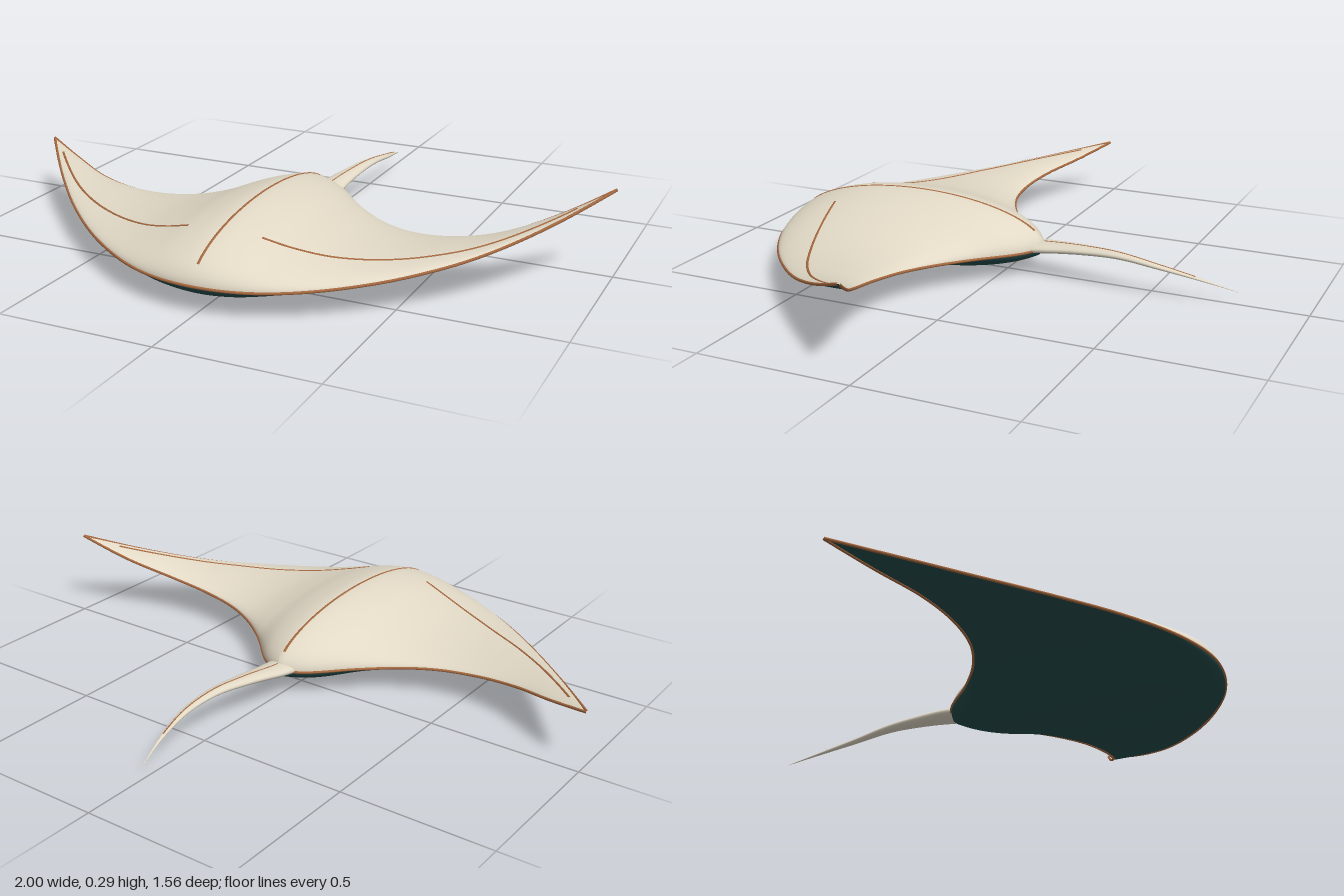
import * as THREE from 'three';
import { mergeVertices } from 'three/addons/utils/BufferGeometryUtils.js';

// Smooth interpolation through [position, value] knots with a given slope at the first knot
function curve(knots, startSlope = 0) {
  const n = knots.length - 1;
  const secant = (i) => (knots[i + 1][1] - knots[i][1]) / (knots[i + 1][0] - knots[i][0]);
  const slope = knots.map((k, i) => {
    if (i === 0) return startSlope;
    if (i === n) return secant(n - 1);
    const h0 = k[0] - knots[i - 1][0], h1 = knots[i + 1][0] - k[0];
    return (secant(i - 1) * h1 + secant(i) * h0) / (h0 + h1);
  });
  slope[n] = (3 * slope[n] - slope[n - 1]) / 2;
  return (p) => {
    let i = 0;
    while (i < n - 1 && p > knots[i + 1][0]) i++;
    const [x0, y0] = knots[i], [x1, y1] = knots[i + 1];
    const h = x1 - x0, t = Math.min(1, Math.max(0, (p - x0) / h)), t2 = t * t, t3 = t2 * t;
    return y0 * (2 * t3 - 3 * t2 + 1) + y1 * (3 * t2 - 2 * t3)
      + h * (slope[i] * (t3 - 2 * t2 + t) + slope[i + 1] * (t3 - t2));
  };
}

// Outline and thickness as functions of the distance from the middle
const frontZ = curve([[0, .78], [.2, .74], [.4, .628], [.6, .463], [.8, .257], [1, .02]]);
const backZ = curve([[0, -.13], [.07, -.095], [.2, .028], [.3, .105], [.4, .155], [.55, .18], [.7, .157], [.85, .09], [1, .02]], .35);
const rimLeft = curve([[0, .088], [.2, .088], [.4, .098], [.55, .115], [.7, .147], [.85, .205], [1, .285]]);
const rimRight = curve([[0, .088], [.2, .088], [.4, .096], [.55, .106], [.7, .124], [.85, .152], [1, .188]]);
const topRise = curve([[0, .145], [.1, .126], [.2, .09], [.3, .06], [.4, .041], [.6, .024], [.8, .013], [1, 0]]);
const bellyDrop = curve([[0, .088], [.1, .075], [.2, .045], [.3, .018], [.4, .008], [.6, .004], [1, 0]]);
const rimY = (x) => (x > 0 ? rimLeft(x) : rimRight(-x));

// Height of the upper skin at a point
function topY(x, z) {
  const d = Math.abs(x), f = frontZ(d), b = backZ(d);
  const u = (z - (f + b) / 2) / Math.max((f - b) / 2, 1e-4);
  return rimY(x) + topRise(d) * Math.sqrt(Math.max(0, 1 - u * u));
}

// Smooth surface from a grid of points
function gridSurface(nu, nv, point, flip = false) {
  const pos = [], index = [];
  for (let i = 0; i <= nu; i++)
    for (let j = 0; j <= nv; j++) pos.push(...point(i / nu, j / nv));
  for (let i = 0; i < nu; i++)
    for (let j = 0; j < nv; j++) {
      const a = i * (nv + 1) + j, b = a + nv + 1, c = a + 1, d = b + 1;
      if (flip) index.push(a, c, b, b, c, d);
      else index.push(a, b, c, b, d, c);
    }
  let geo = new THREE.BufferGeometry();
  geo.setAttribute('position', new THREE.Float32BufferAttribute(pos, 3));
  geo.setIndex(index);
  geo = mergeVertices(geo, 1e-5);
  geo.computeVertexNormals();
  return geo;
}

// One half of the body: elliptical slices from wing tip to wing tip
function skin(sign) {
  return gridSurface(160, 60, (u, v) => {
    const x = 2 * u - 1, d = Math.abs(x), t = v * Math.PI;
    const f = frontZ(d), b = backZ(d);
    const h = sign > 0 ? topRise(d) : -bellyDrop(d);
    return [x, rimY(x) + h * Math.sin(t), (f + b) / 2 + (f - b) / 2 * Math.cos(t)];
  }, sign < 0);
}

// Tail centre line and half sizes along its length
const tailX = curve([[0, 0], [.06, .002], [.2, .02], [.35, .04], [.45, .045], [.55, .034], [.7, 0]]);
const tailY = curve([[0, .09], [.06, .096], [.2, .11], [.32, .115], [.45, .101], [.58, .074], [.7, .04]]);
const tailW = curve([[0, .052], [.06, .049], [.12, .041], [.22, .03], [.35, .019], [.5, .011], [.7, .0005]]);
const tailH = curve([[0, .019], [.1, .017], [.3, .012], [.5, .007], [.7, .0005]]);

export function createModel() {
  const cream = new THREE.MeshStandardMaterial({ color: 0xe1d8c5 });
  cream.name = 'cream';
  const teal = new THREE.MeshStandardMaterial({ color: 0x244a4a });
  teal.name = 'darkTeal';
  const brown = new THREE.MeshStandardMaterial({ color: 0xa5683f });
  brown.name = 'brown';

  const model = new THREE.Group();
  model.name = 'ray';
  const add = (name, geo, mat) => {
    const mesh = new THREE.Mesh(geo, mat);
    mesh.name = name;
    model.add(mesh);
  };
  const cord = (name, points, radius) => add(name, new THREE.TubeGeometry(
    new THREE.CatmullRomCurve3(points), points.length * 2, radius, 8), brown);
  const sample = (n, fn) => Array.from({ length: n + 1 }, (_, i) => new THREE.Vector3(...fn(i / n)));

  // Body
  add('upperSkin', skin(1), cream);
  add('belly', skin(-1), teal);

  // Tail, with a closed root inside the body
  add('tail', gridSurface(60, 20, (u, v) => {
    const s = Math.max(0, (u * 60 - 1) / 59) * .7, a = v * Math.PI * 2 - Math.PI / 2;
    const k = u === 0 ? 0 : 1;
    return [tailX(s) + k * tailW(s) * Math.cos(a), tailY(s) + k * tailH(s) * Math.sin(a), -.08 - s];
  }), cream);

  // Piping along the front and back edges
  for (const [name, edge] of [['frontEdge', frontZ], ['backEdge', backZ]])
    cord(name, sample(80, (t) => {
      const x = (2 * t - 1) * .998;
      return [x, rimY(x), edge(Math.abs(x))];
    }), .0045);

  // Ridge lines along the back and the tail, half sunk into the skin
  cord('backRidge', sample(60, (t) => {
    const z = .745 - t * .84;
    return [0, topY(0, z) - .003, z];
  }), .005);
  cord('tailRidge', sample(30, (t) => {
    const s = .05 + t * .52;
    return [tailX(s), tailY(s) + tailH(s) - .001, -.08 - s];
  }), .0025);

  // Curved crease on each wing
  const creaseZ = curve([[0, .597], [.12, .585], [.28, .545], [.45, .472], [.6, .385], [.717, .294], [.83, .185], [.91, .1]]);
  for (const side of [1, -1])
    cord(side > 0 ? 'leftCrease' : 'rightCrease', sample(50, (t) => {
      const d = .12 + t * .785, z = creaseZ(d);
      return [side * d, topY(side * d, z) - .002, z];
    }), .0045);

  return model;
}
